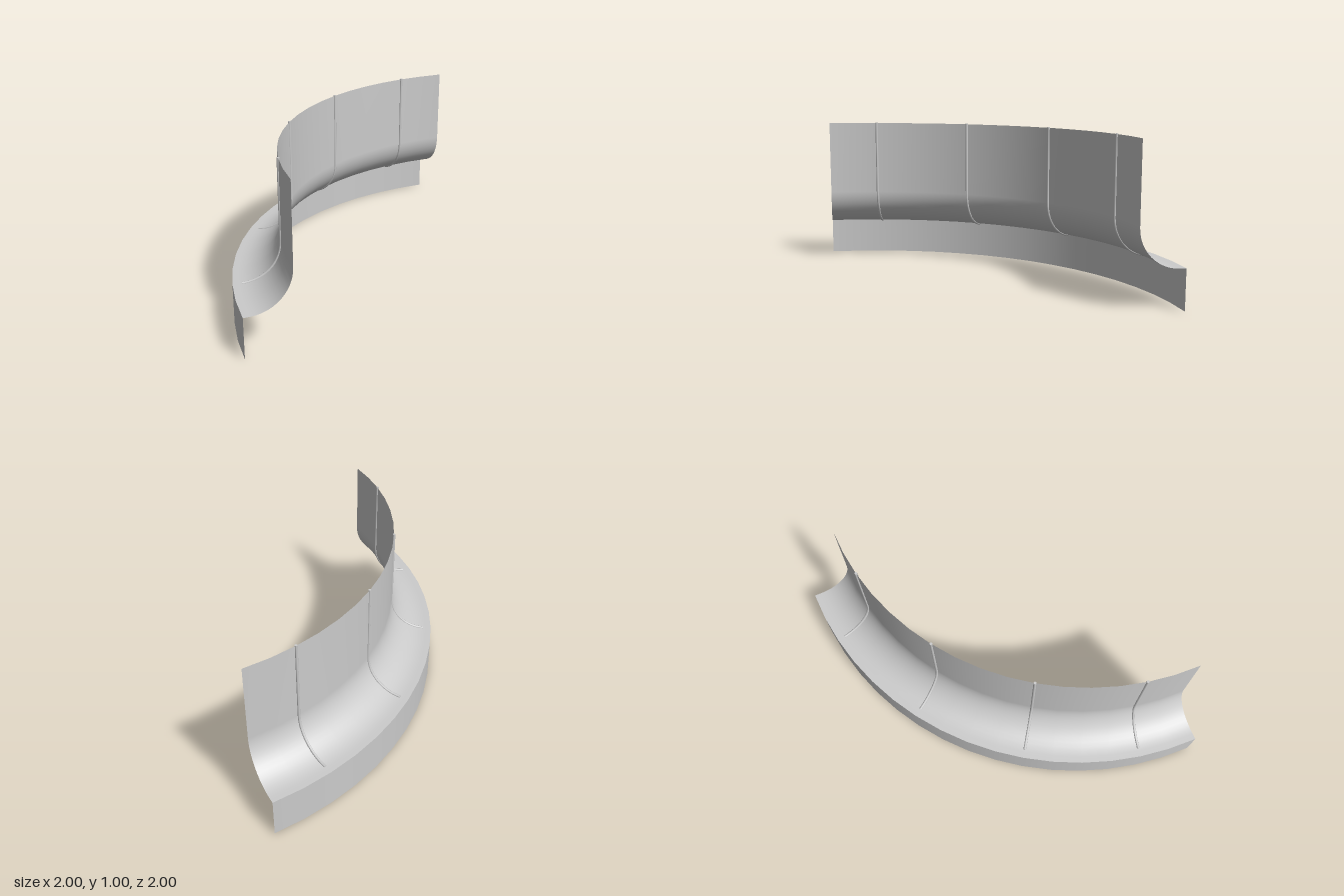
import * as THREE from 'three';

// Quarter-ring dimensions
const OUTER = 2, INNER = 1.715, SKIRT_TOP = 0.255, TOP = 1;
const BEND = 0.245, BEND_R = INNER + BEND, BEND_Y = SKIRT_TOP + BEND;
const SEGMENTS = 16;

// Points (radius, height) along the quarter-round bend, bottom to top
function bendPoints(start, steps) {
  const pts = [];
  for (let i = 0; i <= steps; i++) {
    const a = start + (Math.PI / 2 - start) * (i / steps);
    pts.push(new THREE.Vector2(BEND_R - BEND * Math.sin(a), BEND_Y - BEND * Math.cos(a)));
  }
  return pts;
}

export function createModel() {
  const model = new THREE.Group();
  model.name = 'curvedQuarterWall';
  const material = new THREE.MeshStandardMaterial({ color: 0xcccccc, side: THREE.DoubleSide });

  // The ring's centre sits at the front-left corner of the model
  const ring = new THREE.Group();
  ring.name = 'quarterRing';
  ring.position.set(1, 0, 1);
  model.add(ring);

  const sweep = (name, points) => {
    const geometry = new THREE.LatheGeometry(points, SEGMENTS, Math.PI, Math.PI / 2);
    const mesh = new THREE.Mesh(geometry, material);
    mesh.name = name;
    ring.add(mesh);
  };

  // Upright outer skirt, separate so its top edge stays sharp
  sweep('skirt', [new THREE.Vector2(OUTER, 0), new THREE.Vector2(OUTER, SKIRT_TOP)]);

  // Flared foot bending up into the vertical wall
  sweep('flaredWall', [
    new THREE.Vector2(OUTER, SKIRT_TOP),
    ...bendPoints(0, 12),
    new THREE.Vector2(INNER, TOP),
  ]);

  // Thin seam ribs that follow the wall and the bend
  const path = new THREE.CurvePath();
  const line = [...bendPoints(0.06, 14), new THREE.Vector2(INNER, TOP + 0.004)]
    .map((p) => new THREE.Vector3(p.x, p.y, 0));
  for (let i = 1; i < line.length; i++) path.add(new THREE.LineCurve3(line[i - 1], line[i]));
  const ribGeometry = new THREE.TubeGeometry(path, 60, 0.009, 8, false);
  const capGeometry = new THREE.CircleGeometry(0.009, 8);

  for (let i = 0; i < 4; i++) {
    const rib = new THREE.Group();
    rib.name = 'seamRib' + (i + 1);
    // Local +x turns to point from the ring centre towards the back right
    rib.rotation.y = Math.PI - THREE.MathUtils.degToRad(11.25 + 22.5 * i);
    const tube = new THREE.Mesh(ribGeometry, material);
    tube.name = 'ribTube';
    const topCap = new THREE.Mesh(capGeometry, material);
    topCap.name = 'ribTopCap';
    topCap.position.copy(line[line.length - 1]);
    topCap.rotation.x = -Math.PI / 2;
    const endCap = new THREE.Mesh(capGeometry, material);
    endCap.name = 'ribEndCap';
    endCap.position.copy(line[0]);
    endCap.rotation.y = Math.PI / 2;
    rib.add(tube, topCap, endCap);
    ring.add(rib);
  }

  return model;
}
